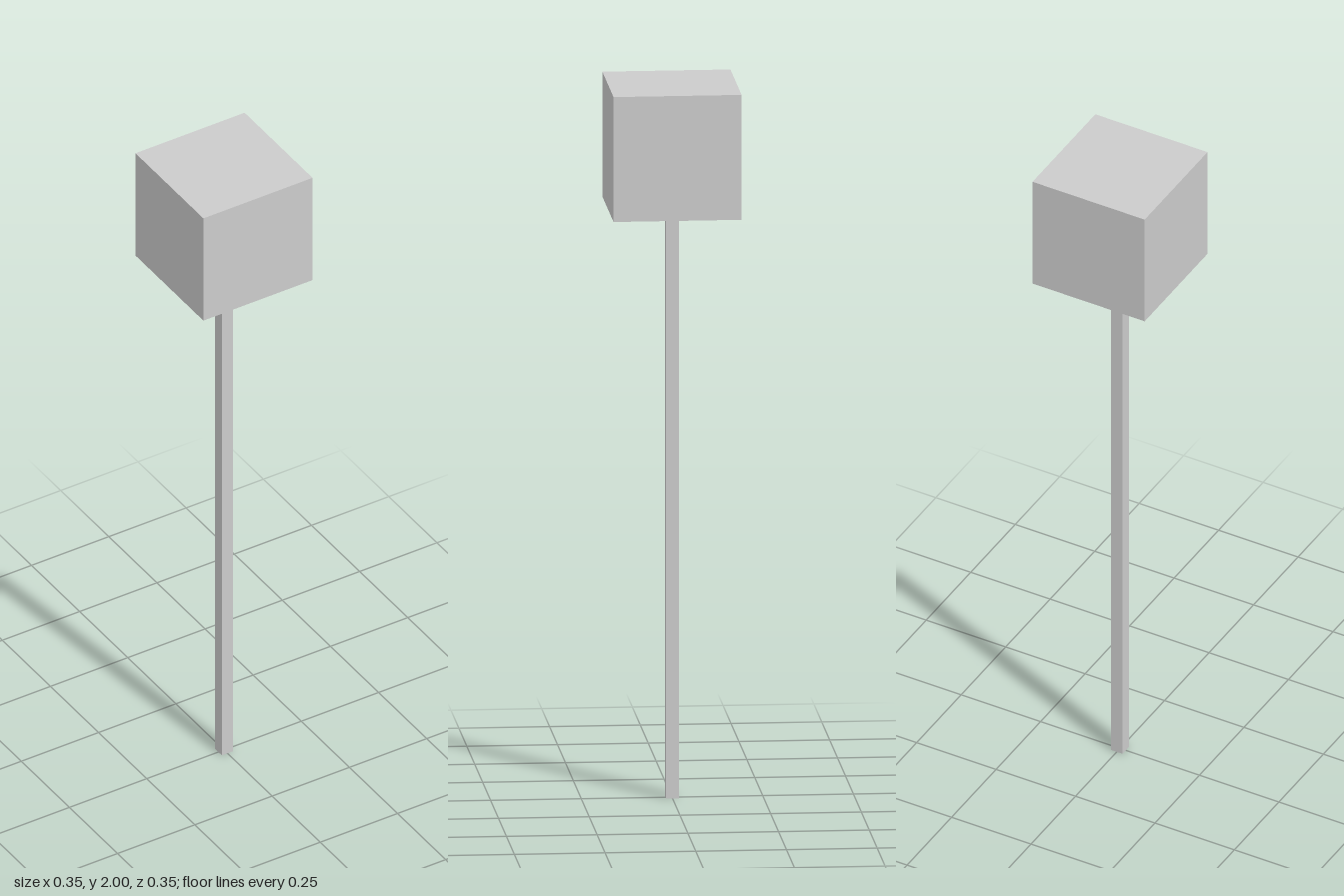
import * as THREE from 'three';

const WIDTH = 0.353;
const HEAD_BOTTOM = 1.65;
const TOP = 2;
const POST_WIDTH = 0.036;

export function createModel() {
  const model = new THREE.Group();
  const material = new THREE.MeshStandardMaterial({ color: 0xcccccc, flatShading: true });

  // Square block standing between two heights
  const addBlock = (name, width, bottom, top) => {
    const block = new THREE.Mesh(new THREE.BoxGeometry(width, top - bottom, width), material);
    block.name = name;
    block.position.y = (bottom + top) / 2;
    model.add(block);
  };

  // Slim square post carrying the cube-shaped head
  addBlock('post', POST_WIDTH, 0, HEAD_BOTTOM);
  addBlock('head', WIDTH, HEAD_BOTTOM, TOP);

  return model;
}
